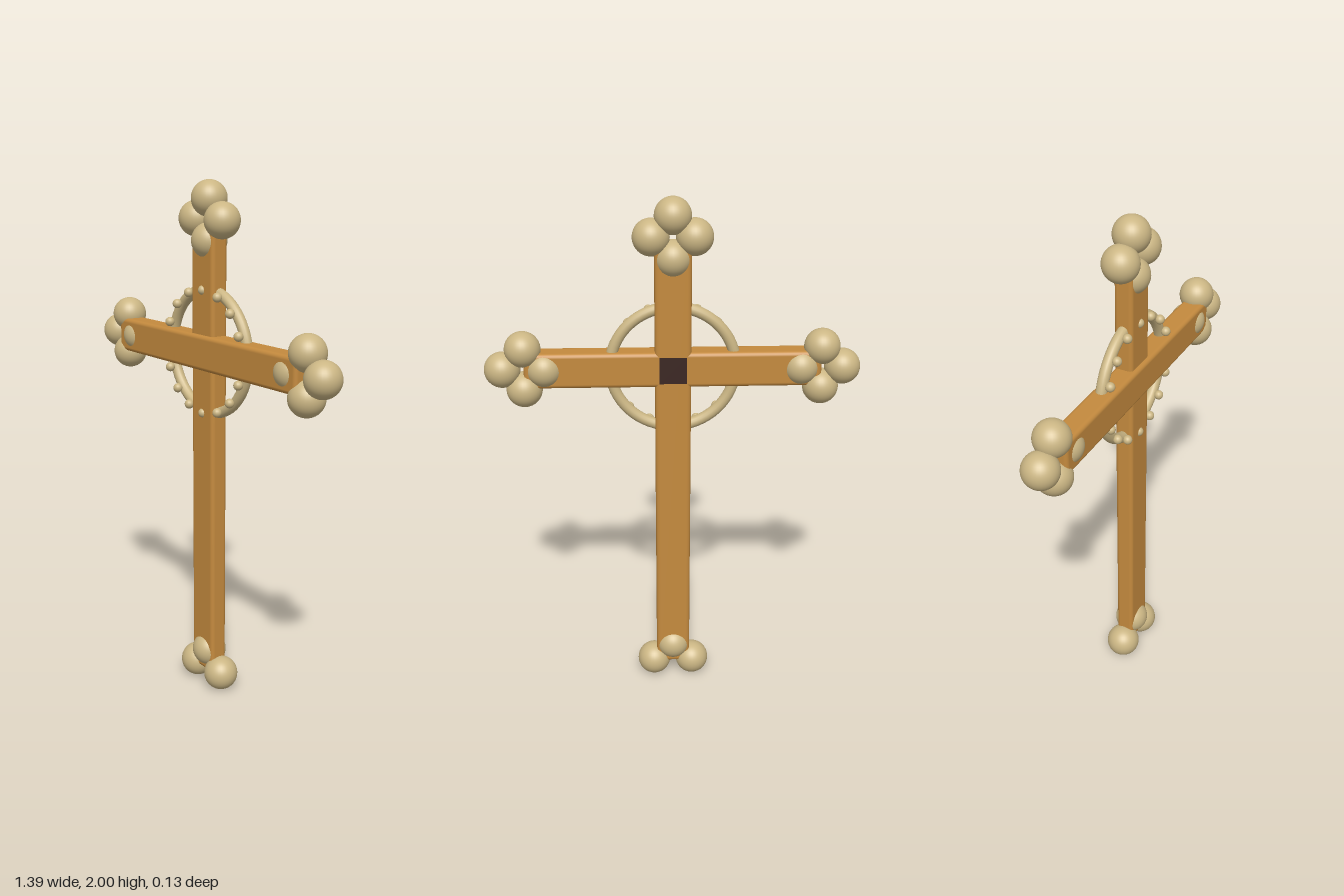
import * as THREE from 'three';
import { RoundedBoxGeometry } from 'three/addons/geometries/RoundedBoxGeometry.js';

export function createModel() {
  const root = new THREE.Group();
  root.name = 'cross';

  const mat = (name, color) => {
    const m = new THREE.MeshStandardMaterial({ color });
    m.name = name;
    return m;
  };
  const wood = mat('warm wood', 0xc48a3e);
  const brass = mat('pale brass', 0xcbb684);
  const dark = mat('dark brown', 0x3a2622);

  const add = (name, geometry, material, x, y, z, parent = root) => {
    const mesh = new THREE.Mesh(geometry, material);
    mesh.name = name;
    mesh.position.set(x, y, z);
    parent.add(mesh);
    return mesh;
  };

  const CY = 1.37; // height of the crossing

  // Beams: the crossbar is deeper and stands proud at the front, flush at the back
  add('uprightBeam', new RoundedBoxGeometry(0.134, 1.77, 0.072, 2, 0.016), wood, 0, 0.955, 0);
  add('crossBeam', new RoundedBoxGeometry(1.1, 0.134, 0.088, 2, 0.016), wood, 0, CY, 0.008);

  // Dark square where the beams meet at the back
  add('backJoint', new THREE.BoxGeometry(0.102, 0.102, 0.004), dark, 0, CY, -0.0355);

  // Ring around the crossing with beads on its front
  add('ring', new THREE.TorusGeometry(0.233, 0.021, 16, 64), brass, 0, CY, 0);
  const beads = new THREE.Group();
  beads.name = 'ringBeads';
  root.add(beads);
  const beadGeo = new THREE.SphereGeometry(0.018, 16, 12);
  for (let i = 0; i < 16; i++) {
    const a = (i / 16) * Math.PI * 2;
    add('bead', beadGeo, brass, 0.233 * Math.cos(a), CY + 0.233 * Math.sin(a), 0.03, beads);
  }

  // Clusters of balls at the beam ends
  const ballGeo = new THREE.SphereGeometry(0.067, 32, 24);
  const cluster = (name, points) => {
    const g = new THREE.Group();
    g.name = name;
    root.add(g);
    for (const [x, y] of points) add('ball', ballGeo, brass, x, y, 0, g);
  };
  cluster('topBalls', [[0, 1.933], [-0.078, 1.858], [0.078, 1.858], [0, 1.782]]);
  cluster('bottomBalls', [[0, 0.147], [-0.078, 0.069], [0.078, 0.069]]);
  for (const s of [-1, 1]) {
    cluster(s > 0 ? 'leftBalls' : 'rightBalls',
      [[s * 0.63, CY], [s * 0.552, CY + 0.078], [s * 0.552, CY - 0.078], [s * 0.476, CY]]);
  }

  return root;
}
